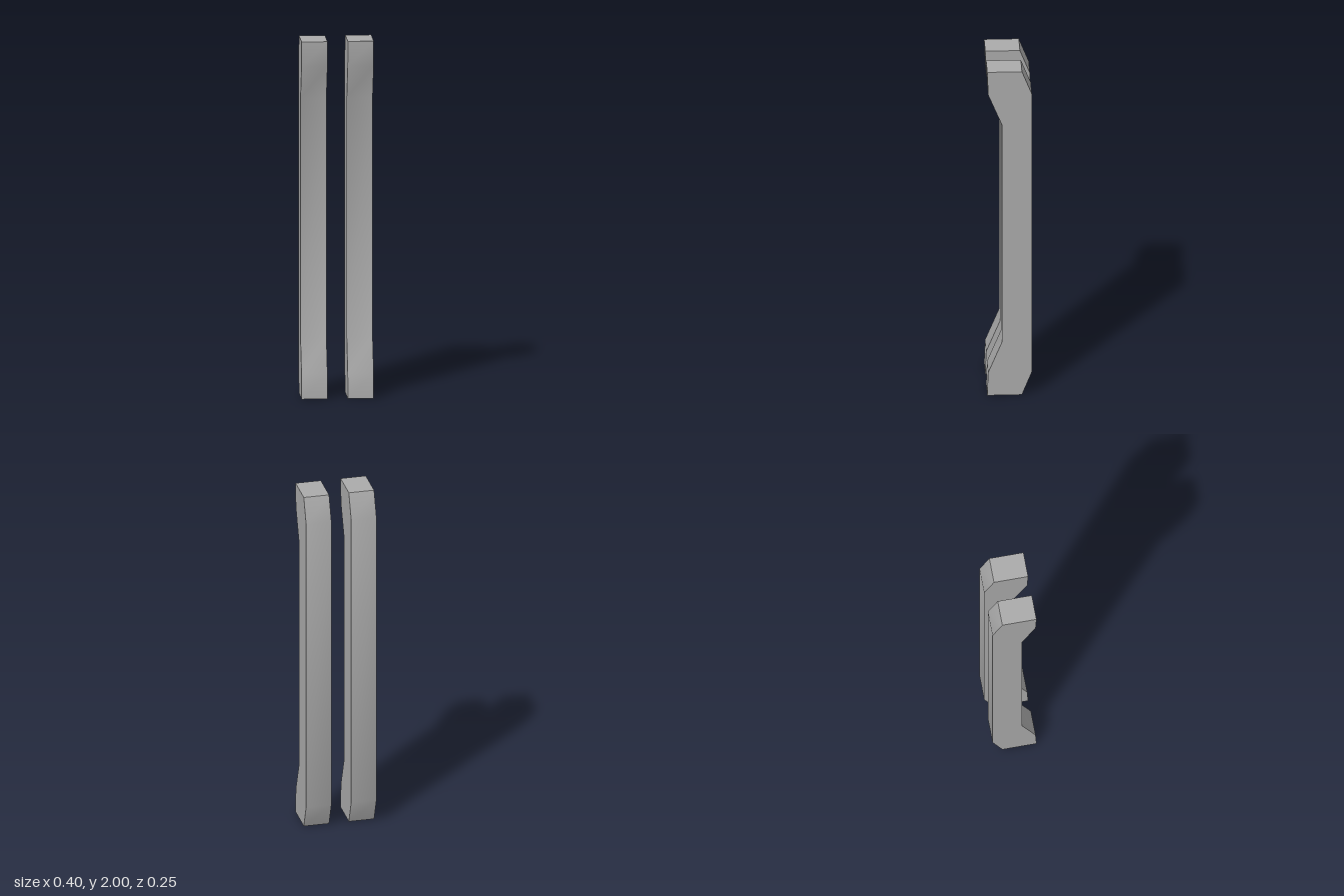
import * as THREE from 'three';
import { toCreasedNormals } from 'three/addons/utils/BufferGeometryUtils.js';

const WIDTH = 0.143;
const CENTER_X = 0.1275;

// Lower half of the side outline as [z, y], from the front bend round to the back.
const lowerHalf = [[0.041, 0.33], [0.118, 0.14], [0.123, 0], [-0.068, 0], [-0.123, 0.14]];

// Bar with a chamfered back and feet that step forward at both ends.
function barGeometry() {
  const upperHalf = lowerHalf.map(([z, y]) => [z, 2 - y]).reverse();
  const outline = [...lowerHalf, ...upperHalf].map(([z, y]) => new THREE.Vector2(z, y));
  const geometry = new THREE.ExtrudeGeometry(new THREE.Shape(outline), {
    depth: WIDTH, bevelEnabled: false,
  });
  geometry.translate(0, 0, -WIDTH / 2);
  geometry.rotateY(-Math.PI / 2);
  // Soft shading over the shallow bends, sharp edges elsewhere
  return toCreasedNormals(geometry, THREE.MathUtils.degToRad(40));
}

export function createModel() {
  const model = new THREE.Group();
  model.name = 'pairOfBars';

  const grey = new THREE.MeshStandardMaterial({ color: 0xaaaaaa });
  grey.name = 'grey';

  const geometry = barGeometry();
  for (const [name, side] of [['leftBar', 1], ['rightBar', -1]]) {
    const bar = new THREE.Mesh(geometry, grey);
    bar.name = name;
    bar.position.x = side * CENTER_X;
    model.add(bar);
  }
  return model;
}
